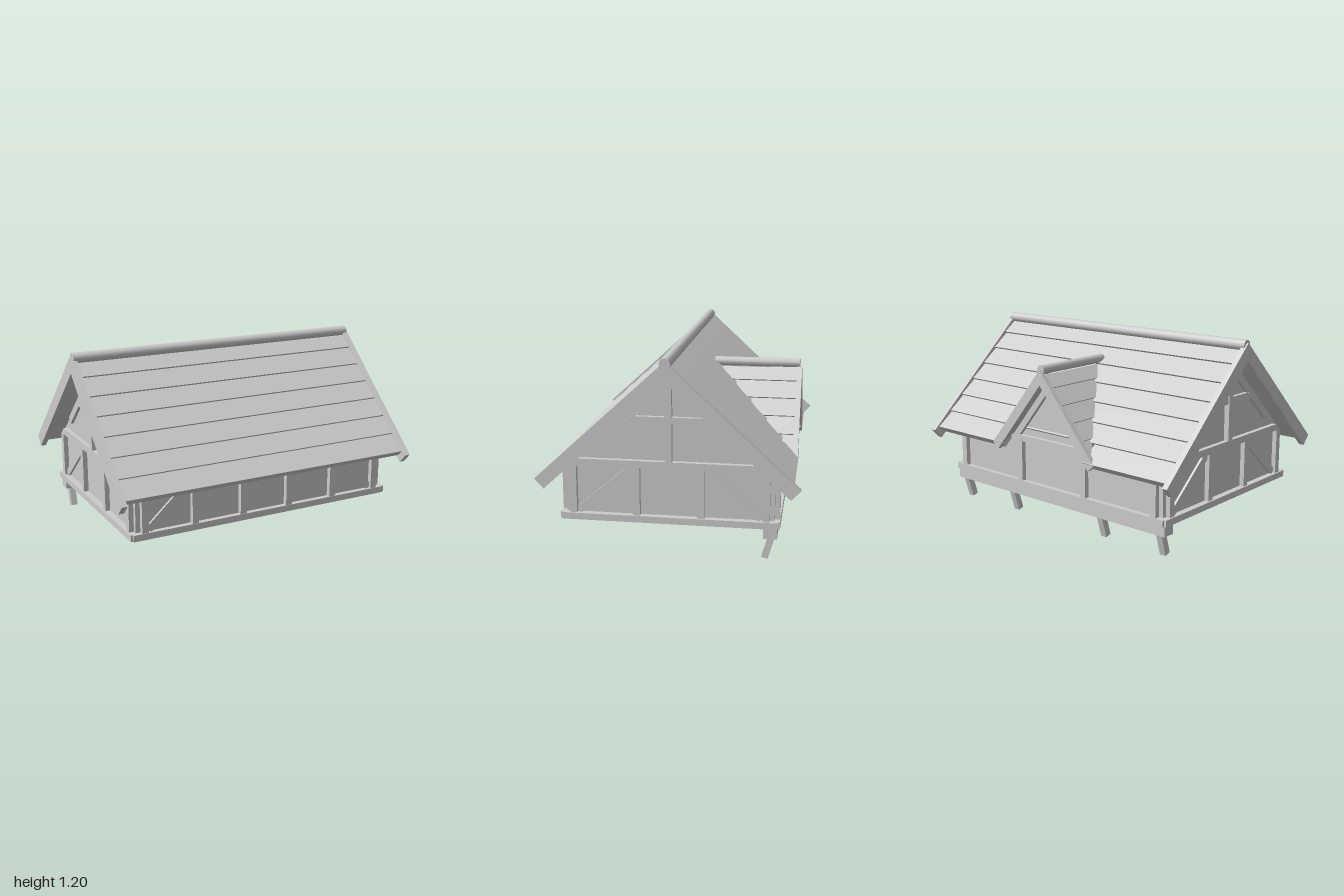
import * as THREE from 'three';

const timber = new THREE.MeshStandardMaterial({ color: 0xcccccc });
timber.name = 'light grey';

// Roof pitches: rise over run and height of the top line at the ridge
const MAIN = { apex: 1.18, pitch: 0.921 };
const DORMER = { apex: 1.0, pitch: 1.2 };

// Point on a roof slope: s runs down the slope, n is the offset along its normal
function slopePoint(roof, side, s, n) {
  const a = Math.atan(roof.pitch), c = Math.cos(a), k = Math.sin(a);
  return [side * (s * c + n * k), roof.apex - s * k + n * c];
}

// Board section lying on a slope; s0 = 0 starts at the vertical ridge plane
function slopeBoard(roof, side, s0, s1, topUpper, topLower, bottom) {
  const start = (n) => (s0 === 0 ? -n * roof.pitch : s0);
  return [
    slopePoint(roof, side, start(topUpper), topUpper),
    slopePoint(roof, side, s1, topLower),
    slopePoint(roof, side, s1, bottom),
    slopePoint(roof, side, start(bottom), bottom),
  ];
}

// Straight bar of width w between two points
function bar([u0, v0], [u1, v1], w) {
  const l = Math.hypot(u1 - u0, v1 - v0);
  const p = (-(v1 - v0) / l) * (w / 2), q = ((u1 - u0) / l) * (w / 2);
  return [[u0 + p, v0 + q], [u1 + p, v1 + q], [u1 - p, v1 - q], [u0 - p, v0 - q]];
}

function extrude(pts, depth) {
  const shape = new THREE.Shape(pts.map(([u, v]) => new THREE.Vector2(u, v)));
  return new THREE.ExtrudeGeometry(shape, { depth, bevelEnabled: false });
}

export function createModel() {
  const model = new THREE.Group();
  model.name = 'timberHouse';

  const add = (name, geometry) => {
    const mesh = new THREE.Mesh(geometry, timber);
    mesh.name = name;
    model.add(mesh);
    return mesh;
  };
  // Section in (z, y) swept from x0 to x1
  const prismX = (name, pts, x0, x1) =>
    add(name, extrude(pts.map(([z, y]) => [-z, y]), x1 - x0).rotateY(Math.PI / 2).translate(x0, 0, 0));
  // Section in (x, y) swept from z0 to z1
  const prismZ = (name, pts, z0, z1) => add(name, extrude(pts, z1 - z0).translate(0, 0, z0));
  const box = (name, x0, x1, y0, y1, z0, z1) =>
    add(name, new THREE.BoxGeometry(x1 - x0, y1 - y0, z1 - z0)
      .translate((x0 + x1) / 2, (y0 + y1) / 2, (z0 + z1) / 2));
  // Sweep towards the outside of the +x or -x end
  const endPrism = (name, pts, side, inner, outer) =>
    side > 0 ? prismX(name, pts, inner, outer) : prismX(name, pts, -outer, -inner);

  // Long walls with sill and top plate
  for (const side of [1, -1]) {
    const span = (name, x0, x1, y0, y1, inner, outer) =>
      box(name, x0, x1, y0, y1, Math.min(side * inner, side * outer), Math.max(side * inner, side * outer));
    span('longWall', -0.86, 0.86, 0.2, 0.54, 0.6, 0.615);
    span('longSill', -0.885, 0.885, 0.2, 0.24, 0.6, 0.648);
    span('topPlate', -0.86, 0.86, 0.5, 0.53, 0.605, 0.64);
    const posts = side > 0 ? [-0.81, -0.486, -0.162, 0.162, 0.486, 0.81] : [-0.81, -0.27, 0.27, 0.81];
    for (const x of posts) span('longWallPost', x - 0.021, x + 0.021, 0.24, 0.52, 0.605, 0.645);
  }
  for (const m of [1, -1]) {
    prismZ('frontBrace', bar([m * 0.785, 0.25], [m * 0.51, 0.5], 0.045), 0.605, 0.63);
  }

  // Gable ends with timber framing
  for (const side of [1, -1]) {
    endPrism('gableWall', [[-0.615, 0.2], [0.615, 0.2], [0.615, 0.535], [0, 1.1], [-0.615, 0.535]], side, 0.845, 0.86);
    const frame = (name, z0, z1, y0, y1, outer) =>
      endPrism(name, [[z0, y0], [z1, y0], [z1, y1], [z0, y1]], side, 0.85, outer);
    frame('gableSill', -0.636, 0.636, 0.2, 0.24, 0.9);
    frame('kingPost', -0.021, 0.021, 0.575, 1.06, 0.893);
    for (const z of [-0.567, -0.19, 0.19, 0.567]) frame('gablePost', z - 0.021, z + 0.021, 0.24, 0.53, 0.89);
    endPrism('gableRail', [[-0.585, 0.53], [0.585, 0.53], [0.535, 0.573], [-0.535, 0.573]], side, 0.85, 0.89);
    endPrism('collarBeam', [[-0.27, 0.8], [0.27, 0.8], [0.21, 0.838], [-0.21, 0.838]], side, 0.85, 0.885);
    for (const m of [1, -1]) {
      endPrism('gableBrace', bar([m * 0.54, 0.25], [m * 0.21, 0.53], 0.045), side, 0.85, 0.875);
      endPrism('gableRafter', slopeBoard(MAIN, m, 0, 0.67, -0.075, -0.075, -0.122), side, 0.85, 0.88);
    }
  }

  // Main roof: seven overlapping boards per slope, the back eave open under the dormer
  for (const side of [1, -1]) {
    for (let i = 0; i < 7; i++) {
      const s0 = i === 0 ? 0 : 0.15 + (i - 1) * 0.1417;
      const section = slopeBoard(MAIN, side, s0, 0.15 + i * 0.1417, -0.025, -0.012, -0.06);
      if (side < 0 && i === 6) {
        prismX('roofBoard', section, -0.966, -0.345);
        prismX('roofBoard', section, 0.345, 0.966);
      } else {
        prismX('roofBoard', section, -0.966, 0.966);
      }
    }
    for (const end of [1, -1]) {
      endPrism('bargeBoard', slopeBoard(MAIN, side, 0, 1.04, 0, 0, -0.08), end, 0.965, 1);
    }
  }
  add('mainRidge', new THREE.CylinderGeometry(0.033, 0.033, 1.98, 10).toNonIndexed()
    .rotateZ(Math.PI / 2).translate(0, 1.165, 0));

  // Dormer roof on the back slope; board ends follow the main roof
  for (const side of [1, -1]) {
    for (let i = 0; i < 5; i++) {
      const section = slopeBoard(DORMER, side, i * 0.125, (i + 1) * 0.125 + (i === 4 ? 0.025 : 0), -0.022, -0.01, -0.045);
      const g = prismZ('dormerBoard', section, -0.695, 0).geometry;
      const p = g.attributes.position;
      for (let v = 0; v < p.count; v++) {
        if (p.getZ(v) > -0.1) p.setZ(v, Math.max(-0.694, 0.03 - (MAIN.apex - p.getY(v)) / MAIN.pitch));
      }
      g.computeVertexNormals();
    }
    prismZ('dormerBargeBoard', slopeBoard(DORMER, side, 0, 0.672, 0, 0, -0.06), -0.724, -0.692);
    prismZ('dormerRafter', slopeBoard(DORMER, side, 0, 0.58, -0.045, -0.045, -0.085), -0.64, -0.605);
  }
  add('dormerRidge', new THREE.CylinderGeometry(0.029, 0.029, 0.55, 10).toNonIndexed()
    .rotateX(Math.PI / 2).translate(0, 1.0, -0.437));
  prismZ('dormerGable', [[-0.36, 0.5], [0.36, 0.5], [0, 0.94]], -0.615, -0.6);
  box('dormerRail', -0.345, 0.345, 0.5, 0.54, -0.642, -0.605);

  // Carrying beam and slanted struts below the back wall
  box('carryingBeam', -0.885, 0.885, 0.135, 0.2, -0.632, -0.552);
  for (const x of [-0.835, -0.382, 0.382, 0.835]) {
    prismX('strut', bar([-0.605, 0.16], [-0.56, 0.0056], 0.04), x - 0.021, x + 0.021);
  }

  return model;
}
